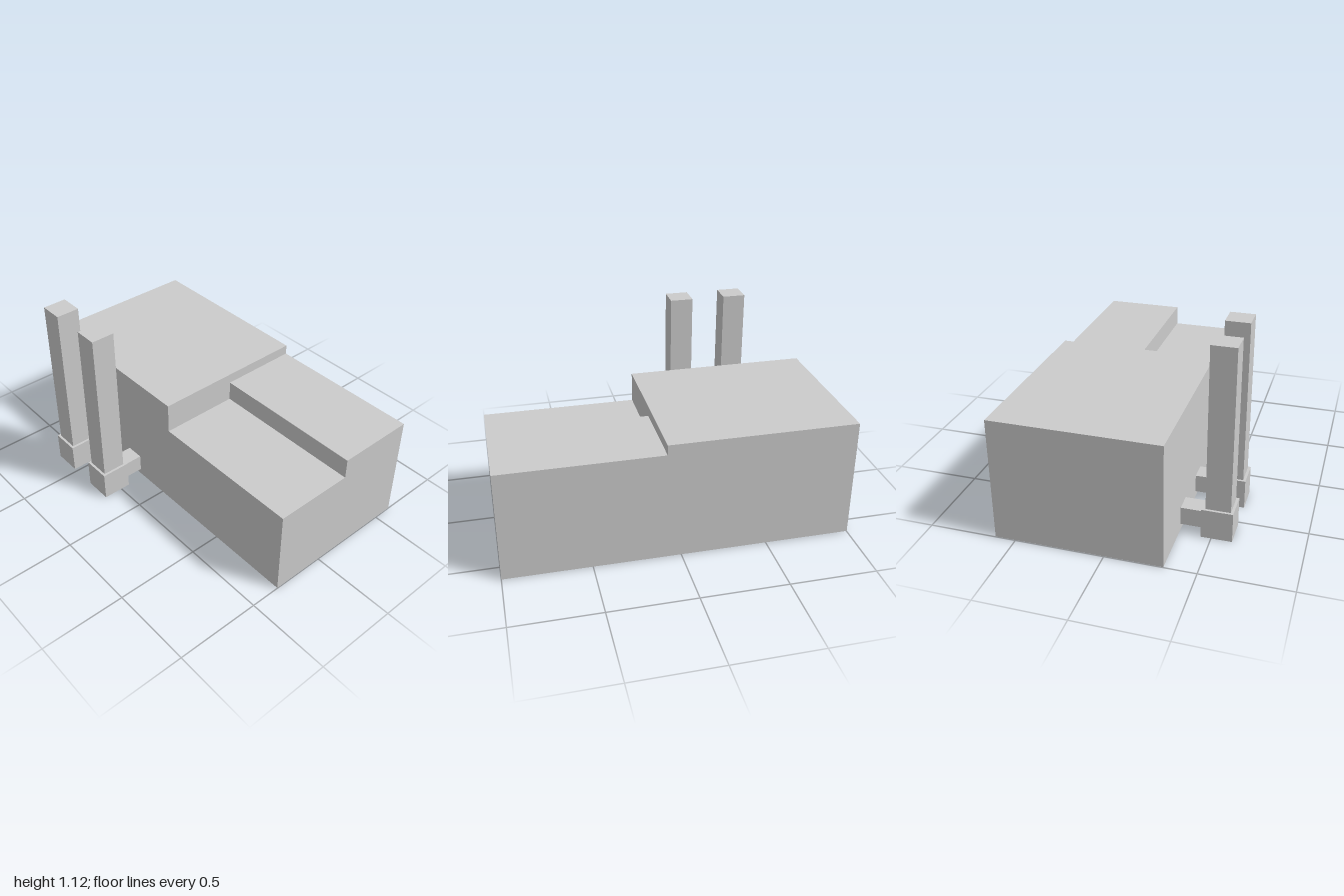
import * as THREE from 'three';

export function createModel() {
  const model = new THREE.Group();
  const material = new THREE.MeshStandardMaterial({ color: 0xcccccc, flatShading: true });

  // Box given by its lower and upper limits on each axis
  function block(name, [x0, x1], [y0, y1], [z0, z1], parent = model) {
    const mesh = new THREE.Mesh(new THREE.BoxGeometry(x1 - x0, y1 - y0, z1 - z0), material);
    mesh.position.set((x0 + x1) / 2, (y0 + y1) / 2, (z0 + z1) / 2);
    mesh.name = name;
    parent.add(mesh);
  }

  // Factory building: tall rear hall and two front wings of different height
  const west = -0.323, middle = 0.146, east = 0.615, floor = 0.003, step = 0.083;
  block('rearHall', [west, east], [floor, 0.711], [-1, step]);
  block('lowFrontWing', [west, middle], [floor, 0.532], [step, 1]);
  block('highFrontWing', [middle, east], [floor, 0.652], [step, 1]);

  // Two chimneys, each on a plinth joined to the hall by a duct
  for (const z of [-0.268, -0.606]) {
    const chimney = new THREE.Group();
    chimney.name = 'chimney';
    const span = (width) => [z - width / 2, z + width / 2];
    block('chimneyBase', [-0.615, -0.442], [0, 0.172], span(0.167), chimney);
    block('chimneyStack', [-0.6, -0.462], [0.172, 1.115], span(0.137), chimney);
    block('chimneyDuct', [-0.442, west], [0.04, 0.144], span(0.108), chimney);
    model.add(chimney);
  }

  return model;
}
